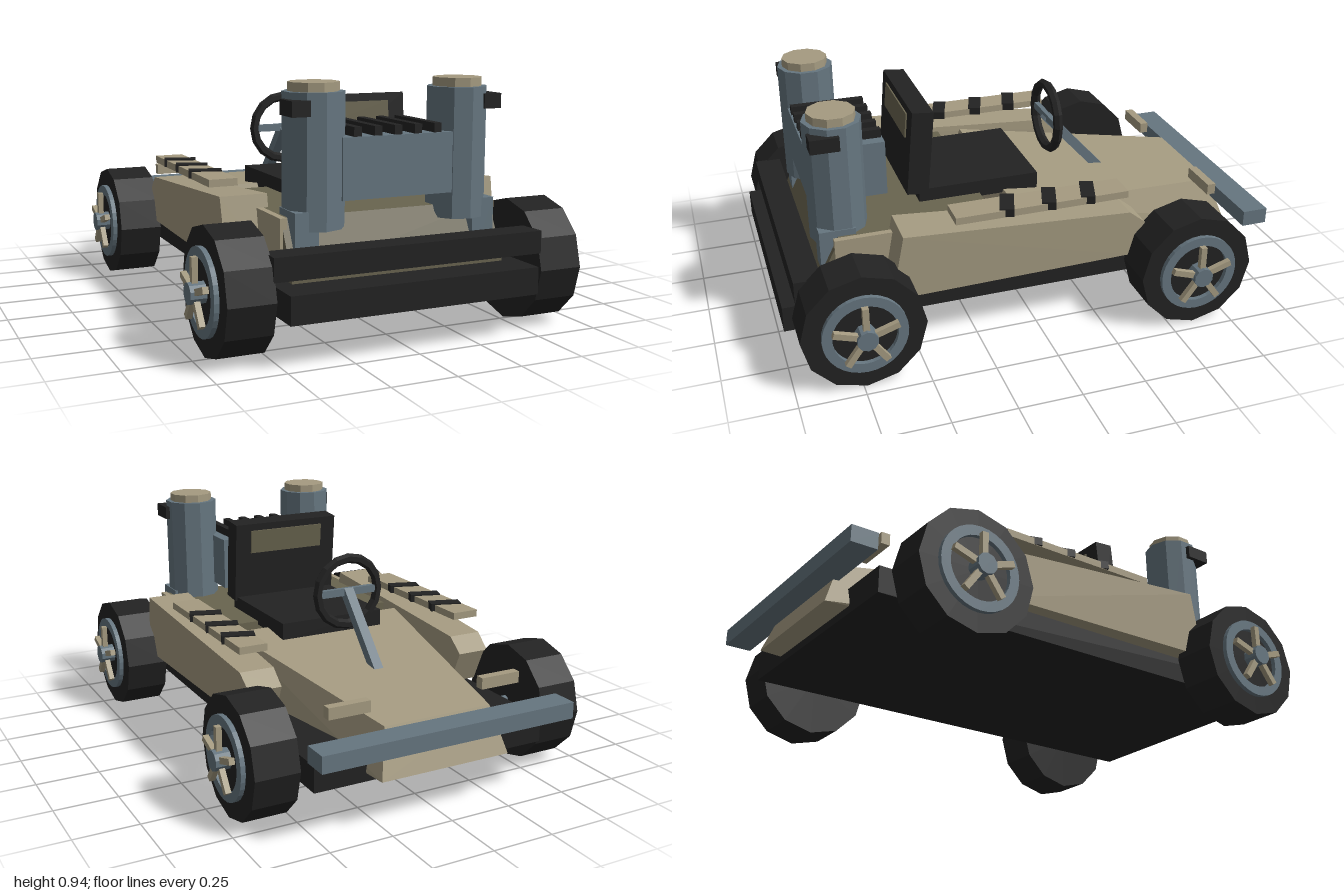
import * as THREE from 'three';
import { ConvexGeometry } from 'three/addons/geometries/ConvexGeometry.js';

export function createModel() {
  const kart = new THREE.Group();
  kart.name = 'kart';
  const mat = (name, color) => {
    const m = new THREE.MeshStandardMaterial({ color, flatShading: true });
    m.name = name;
    return m;
  };
  const tan = mat('tan paint', 0xa59b81);
  const steel = mat('blue grey steel', 0x667680);
  const black = mat('black rubber', 0x222222);
  const olive = mat('dark olive', 0x69644f);

  const add = (name, geo, m, x = 0, y = 0, z = 0, parent = kart) => {
    const mesh = new THREE.Mesh(geo, m);
    mesh.name = name;
    mesh.position.set(x, y, z);
    parent.add(mesh);
    return mesh;
  };
  // Box given by its minimum and maximum on each axis
  const box = (name, m, x0, x1, y0, y1, z0, z1, parent = kart) =>
    add(name, new THREE.BoxGeometry(x1 - x0, y1 - y0, z1 - z0), m,
      (x0 + x1) / 2, (y0 + y1) / 2, (z0 + z1) / 2, parent);
  // Convex solid from rows of [xMin, xMax, y, z]
  const hull = (name, m, rows) => add(name, new ConvexGeometry(
    rows.flatMap(([a, b, y, z]) => [new THREE.Vector3(a, y, z), new THREE.Vector3(b, y, z)])), m);

  // Chassis, bumper and wing
  box('floorPan', black, -0.49, 0.49, 0.16, 0.262, -0.865, 1);
  box('bumperBar', black, -0.53, 0.53, 0.3, 0.385, 0.85, 0.955);
  box('wing', steel, -0.53, 0.53, 0.295, 0.36, -1, -0.895);

  // Tapered hood and engine deck
  hull('hood', tan, [
    [-0.41, 0.41, 0.262, 0.11], [-0.39, 0.39, 0.475, 0.05],
    [-0.27, 0.27, 0.19, -0.955], [-0.225, 0.225, 0.368, -0.89],
    [-0.28, 0.28, 0.19, -0.86], [-0.41, 0.41, 0.262, -0.05],
  ]);
  hull('engineDeck', olive, [
    [-0.41, 0.41, 0.262, 0.15], [-0.41, 0.41, 0.475, 0.15],
    [-0.425, 0.425, 0.475, 0.76], [-0.425, 0.425, 0.28, 0.86], [-0.425, 0.425, 0.262, 0.86],
  ]);

  // Seat
  box('seatCushion', black, -0.23, 0.23, 0.46, 0.528, -0.095, 0.4);
  const seatBack = new THREE.Group();
  seatBack.name = 'seatBack';
  seatBack.position.set(0, 0.69, 0.392);
  seatBack.rotation.x = -0.09;
  kart.add(seatBack);
  box('backrest', black, -0.24, 0.24, -0.175, 0.17, -0.043, 0.043, seatBack);
  box('headPad', olive, -0.17, 0.17, 0.04, 0.14, -0.049, 0.049, seatBack);

  // Engine block with cooling fins
  box('engineBlock', steel, -0.22, 0.22, 0.53, 0.752, 0.525, 0.83);
  for (let i = -2; i <= 2; i++) {
    const x = i * 0.08;
    box('coolingFin', black, x - 0.015, x + 0.015, 0.75, 0.786, 0.53, 0.825);
  }

  // Steering wheel and column
  add('steeringRing', new THREE.TorusGeometry(0.137, 0.02, 6, 16), black, 0, 0.667, -0.22);
  box('steeringSpoke', steel, -0.13, 0.13, 0.652, 0.682, -0.23, -0.21);
  const column = box('steeringColumn', steel, -0.02, 0.02, -0.02, 0.02, -0.19, 0.19);
  column.position.set(0, 0.53, -0.342);
  column.rotation.x = -0.83;

  for (const s of [1, -1]) {
    // Box spanning a to b on one side of the model
    const sideBox = (name, m, a, b, ...r) =>
      box(name, m, Math.min(s * a, s * b), Math.max(s * a, s * b), ...r);
    const row = (a, b, y, z) => [s * a, s * b, y, z];

    // Side pods with striped armrests
    hull('sidePod', tan, [
      row(0.39, 0.565, 0.262, 0.6), row(0.39, 0.573, 0.525, 0.55),
      row(0.405, 0.545, 0.457, -0.37), row(0.405, 0.54, 0.4, -0.44),
      row(0.405, 0.54, 0.262, -0.38),
    ]);
    sideBox('podFin', tan, 0.41, 0.435, 0.265, 0.476, 0.55, 0.78);
    sideBox('armrest', tan, 0.425, 0.54, 0.523, 0.552, -0.36, 0.34);
    for (const z of [-0.21, -0.05, 0.12]) {
      const stripe = add('armrestStripe', new THREE.BoxGeometry(0.13, 0.032, 0.055), black,
        s * 0.48, 0.541, z);
      stripe.rotation.y = -0.32;
    }
    sideBox('wingBracket', tan, 0.24, 0.41, 0.4, 0.445, -0.82, -0.785);

    // Exhaust towers
    add('tower', new THREE.CylinderGeometry(0.112, 0.112, 0.48, 10), steel, s * 0.29, 0.67, 0.737);
    add('towerCap', new THREE.CylinderGeometry(0.092, 0.092, 0.035, 10), tan, s * 0.29, 0.925, 0.737);
    sideBox('towerLeg', steel, 0.31, 0.4, 0.265, 0.5, 0.69, 0.83);
    sideBox('towerClamp', black, 0.345, 0.415, 0.83, 0.885, 0.73, 0.84);

    // Wheels
    for (const z of [0.735, -0.6]) {
      const axle = add('axle', new THREE.CylinderGeometry(0.02, 0.02, 0.4, 8), steel, s * 0.4, 0.235, z);
      axle.rotation.z = Math.PI / 2;
      const wheel = new THREE.Group();
      wheel.name = 'wheel';
      wheel.position.set(s * 0.612, 0.235, z);
      wheel.rotation.y = s * Math.PI / 2; // local +z points outward
      kart.add(wheel);
      const tyre = add('tyre', new THREE.CylinderGeometry(0.235, 0.235, 0.175, 12), black, 0, 0, 0, wheel);
      tyre.rotation.x = Math.PI / 2;
      const ring = new THREE.Shape().absarc(0, 0, 0.16, 0, Math.PI * 2);
      ring.holes.push(new THREE.Path().absarc(0, 0, 0.122, 0, Math.PI * 2, true));
      add('rim', new THREE.ExtrudeGeometry(ring, { depth: 0.02, bevelEnabled: false, curveSegments: 16 }),
        steel, 0, 0, 0.086, wheel);
      for (let i = 0; i < 5; i++) {
        const a = i * Math.PI * 2 / 5;
        const spoke = add('spoke', new THREE.BoxGeometry(0.024, 0.105, 0.022), tan,
          -Math.sin(a) * 0.075, Math.cos(a) * 0.075, 0.122, wheel);
        spoke.rotation.z = a;
      }
      const hub = add('hub', new THREE.CylinderGeometry(0.04, 0.04, 0.065, 10), steel, 0, 0, 0.115, wheel);
      hub.rotation.x = Math.PI / 2;
    }
  }
  // Cross brace in the gap behind the hood
  box('crossBrace', black, -0.4, 0.4, 0.262, 0.3, 0.1, 0.16);
  return kart;
}
